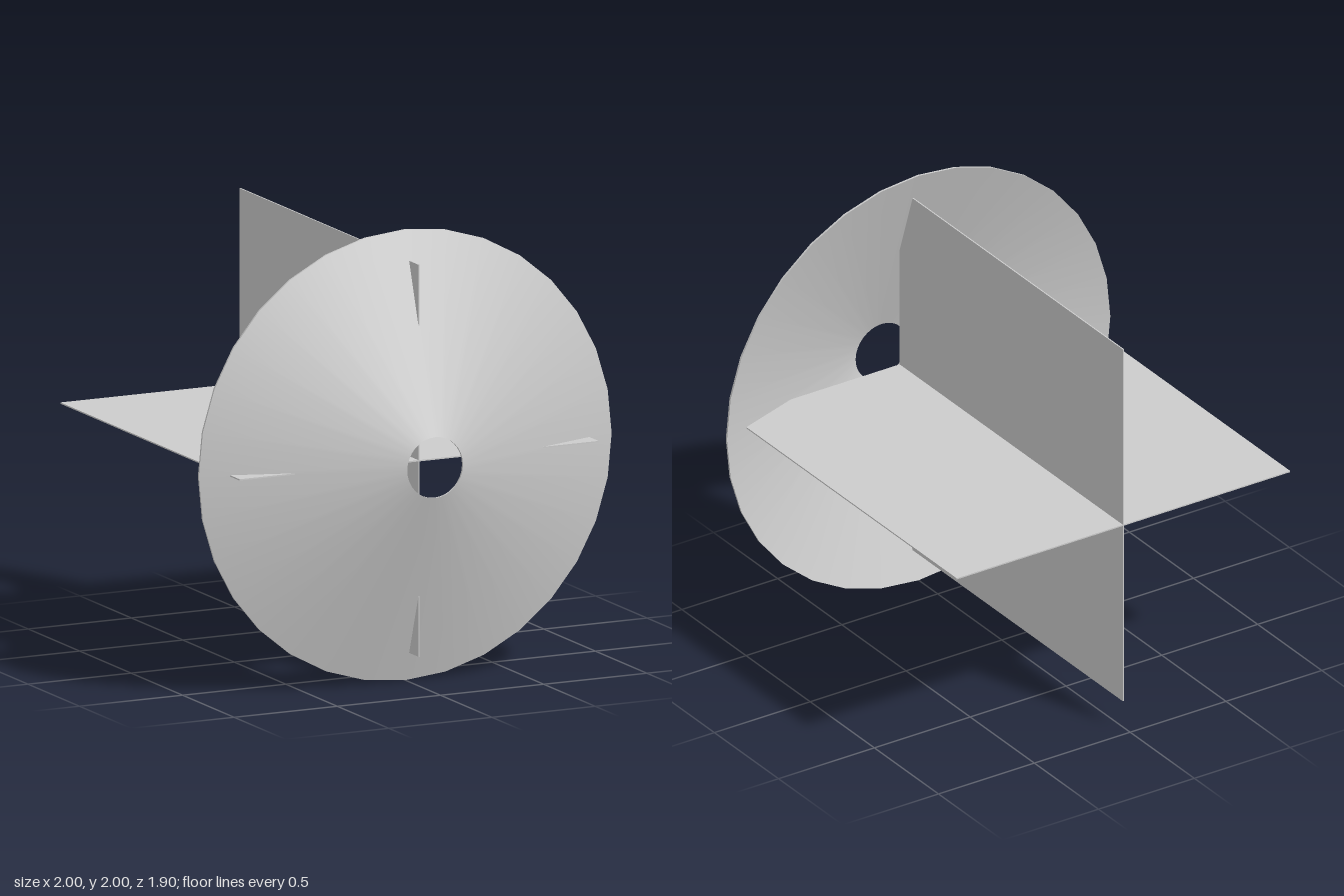
import * as THREE from 'three';
import { mergeGeometries } from 'three/addons/utils/BufferGeometryUtils.js';

const material = new THREE.MeshStandardMaterial({ color: 0xcccccc });

// Revolve each profile edge on its own so the corners stay sharp.
function creasedLathe(profile, segments) {
  const bands = profile.map((p, i) => {
    const q = profile[(i + 1) % profile.length];
    return new THREE.LatheGeometry([new THREE.Vector2(...p), new THREE.Vector2(...q)], segments);
  });
  return mergeGeometries(bands).rotateX(Math.PI / 2);
}

export function createModel() {
  const model = new THREE.Group();

  // Thin cone shell with a round centre hole, pointing forward
  const cone = new THREE.Mesh(
    creasedLathe([[1, 0.658], [0.135, 0.948], [0.135, 0.938], [1, 0.648]], 32),
    material
  );
  cone.name = 'noseCone';
  cone.position.y = 1;
  model.add(cone);

  // Two crossed square sheets whose front corners pass through the cone
  const size = 1.74, thickness = 0.006;
  for (const [name, angle] of [['horizontalFin', 0], ['verticalFin', Math.PI / 2]]) {
    const fin = new THREE.Mesh(new THREE.BoxGeometry(size, thickness, size), material);
    fin.name = name;
    fin.position.set(0, 1, -0.078);
    fin.rotation.z = angle;
    model.add(fin);
  }
  return model;
}
